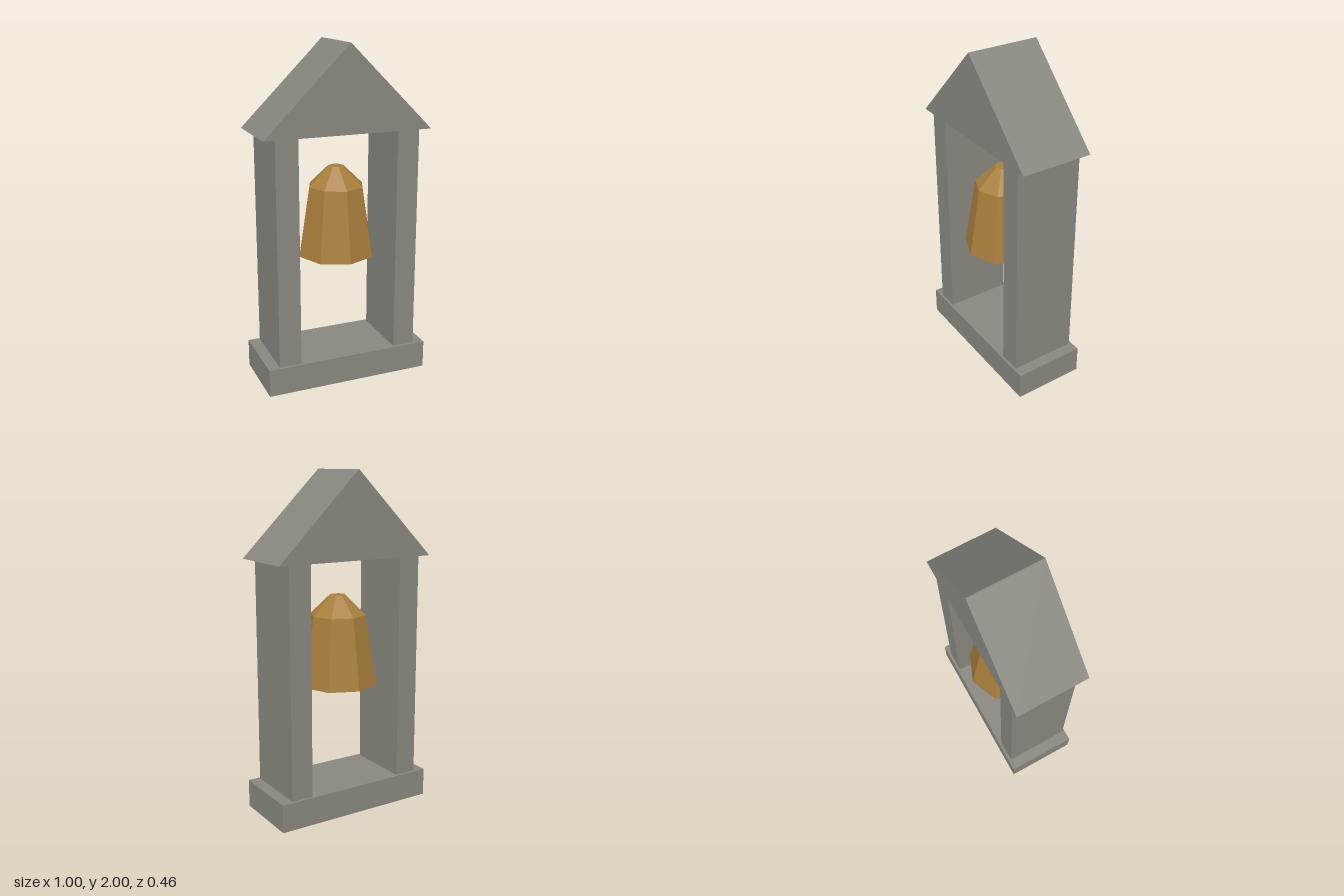
import * as THREE from 'three';

const stone = new THREE.MeshStandardMaterial({ color: 0x888880, flatShading: true });
const bronze = new THREE.MeshStandardMaterial({ color: 0xa87e3c, flatShading: true });

export function createModel() {
  const group = new THREE.Group();
  const add = (name, geometry, material, x = 0, y = 0, z = 0) => {
    const mesh = new THREE.Mesh(geometry, material);
    mesh.name = name;
    mesh.position.set(x, y, z);
    group.add(mesh);
  };

  // Plinth
  add('base', new THREE.BoxGeometry(1, 0.167, 0.43), stone, 0, 0.0835);

  // Two slab pillars
  for (const [name, side] of [['leftPillar', 1], ['rightPillar', -1]]) {
    add(name, new THREE.BoxGeometry(0.133, 1.338, 0.4), stone, side * 0.365, 0.836);
  }

  // Gabled roof: a solid triangular prism
  const gable = new THREE.Shape([
    new THREE.Vector2(-0.5, 1.505),
    new THREE.Vector2(0.5, 1.505),
    new THREE.Vector2(0, 2),
  ]);
  add('roof', new THREE.ExtrudeGeometry(gable, { depth: 0.43, bevelEnabled: false }), stone, 0, 0, -0.215);

  // Eight-sided bell, closed by a shallow cone below and a flat crown above
  const profile = [[0, 0.69], [0.232, 0.755], [0.166, 1.17], [0.047, 1.286], [0, 1.286]]
    .map(([r, y]) => new THREE.Vector2(r, y));
  add('bell', new THREE.LatheGeometry(profile, 8), bronze);

  return group;
}
